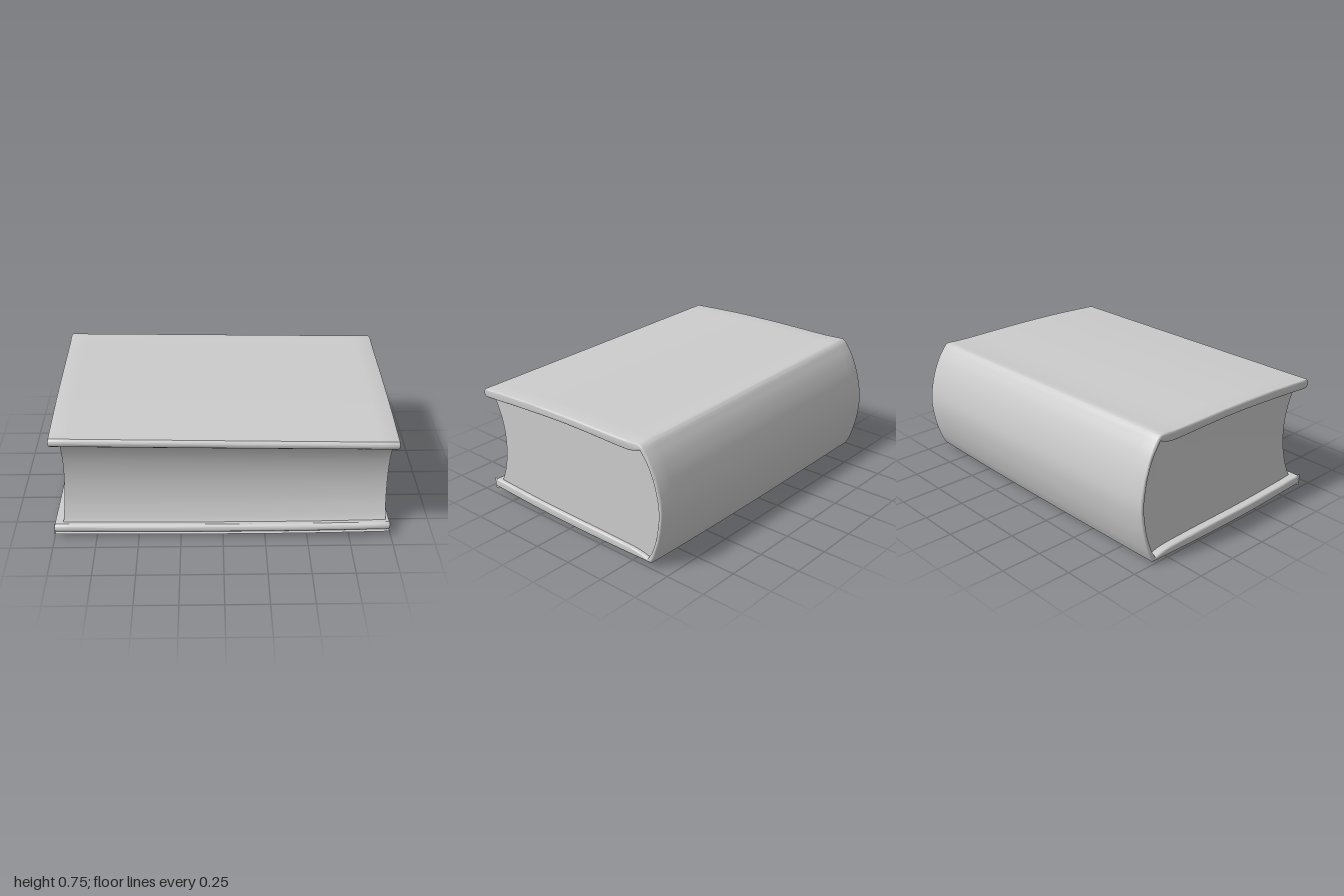
import * as THREE from 'three';
import { toCreasedNormals } from 'three/addons/utils/BufferGeometryUtils.js';

// Outline made of splines that meet at sharp corners; points are [-z, y]
function outline(sections) {
  const shape = new THREE.Shape();
  shape.moveTo(...sections[0][0]);
  sections.forEach((points, i) => {
    const next = sections[(i + 1) % sections.length][0];
    const path = [...points.slice(1), next].map(([u, y]) => new THREE.Vector2(u, y));
    if (path.length === 1) shape.lineTo(path[0].x, path[0].y);
    else shape.splineThru(path);
  });
  return shape;
}

// Slight handmade irregularity: sloping top, sagging base, skewed left end
function warp(geometry, hollow) {
  const p = geometry.attributes.position;
  for (let i = 0; i < p.count; i++) {
    const x = p.getX(i), y = p.getY(i), z = p.getZ(i);
    const t = y / 0.73;
    const sag = (x > 0 ? 0.015 : 0.006) * x * x;
    const dent = x < -0.9 ? hollow * (1 - (2 * t - 1) ** 2) : 0;
    p.setXYZ(i, (x < 0 ? x * (1 - 0.025 * t) : x) + dent,
      y - 0.017 * x * t + sag * (1 - t), z * (1 + 0.008 * x));
  }
}

// Extrudes an outline along x from x0 to x1
function part(name, sections, x0, x1, bevel, hollow) {
  const geometry = new THREE.ExtrudeGeometry(outline(sections), {
    depth: x1 - x0 - 2 * bevel, steps: 20, curveSegments: 4,
    bevelEnabled: bevel > 0, bevelThickness: bevel, bevelSize: bevel,
    bevelOffset: -bevel, bevelSegments: 3,
  });
  geometry.translate(0, 0, x0 + bevel);
  geometry.rotateY(Math.PI / 2);
  warp(geometry, hollow);
  const material = new THREE.MeshStandardMaterial({ color: 0xcccccc, side: THREE.DoubleSide });
  const mesh = new THREE.Mesh(toCreasedNormals(geometry, 0.6), material);
  mesh.name = name;
  return mesh;
}

export function createModel() {
  const group = new THREE.Group();
  group.name = 'book';

  // Cover: two boards with rounded fore-edges joined by a curved spine
  group.add(part('cover', [
    // top board, outside
    [[-0.685, 0.698], [-0.35, 0.717], [0, 0.725], [0.4, 0.725], [0.53, 0.731], [0.56, 0.722]],
    // spine, outside
    [[0.575, 0.708], [0.625, 0.63], [0.672, 0.51], [0.699, 0.36], [0.685, 0.21], [0.65, 0.08]],
    // bottom board, outside
    [[0.618, 0.008], [0.2, 0], [-0.2, 0.004], [-0.63, 0.024]],
    // bottom fore-edge
    [[-0.645, 0.028], [-0.665, 0.048], [-0.662, 0.072]],
    // bottom board, inside
    [[-0.645, 0.084], [-0.6, 0.078], [-0.2, 0.06], [0.3, 0.054], [0.5, 0.048]],
    // spine, inside
    [[0.595, 0.03], [0.627, 0.09], [0.661, 0.21], [0.675, 0.36], [0.648, 0.51], [0.603, 0.62]],
    // top board, inside
    [[0.55, 0.695], [0.49, 0.675], [0.4, 0.67], [0, 0.675], [-0.35, 0.662], [-0.63, 0.645]],
    // top fore-edge
    [[-0.68, 0.644], [-0.698, 0.66], [-0.699, 0.682]],
  ], -1, 0.99, 0.01, 0));

  // Page block: concave fore-edge, rounded back tucked into the spine
  group.add(part('pages', [
    [[-0.655, 0.67], [-0.3, 0.685], [0, 0.695], [0.4, 0.69]],
    [[0.55, 0.7], [0.61, 0.62], [0.655, 0.51], [0.683, 0.36], [0.668, 0.21], [0.635, 0.09]],
    [[0.6, 0.025], [0.3, 0.03], [-0.2, 0.035]],
    [[-0.63, 0.06], [-0.603, 0.11], [-0.57, 0.22], [-0.556, 0.36], [-0.572, 0.5], [-0.615, 0.62]],
  ], -0.955, 0.966, 0, 0.016));

  return group;
}
